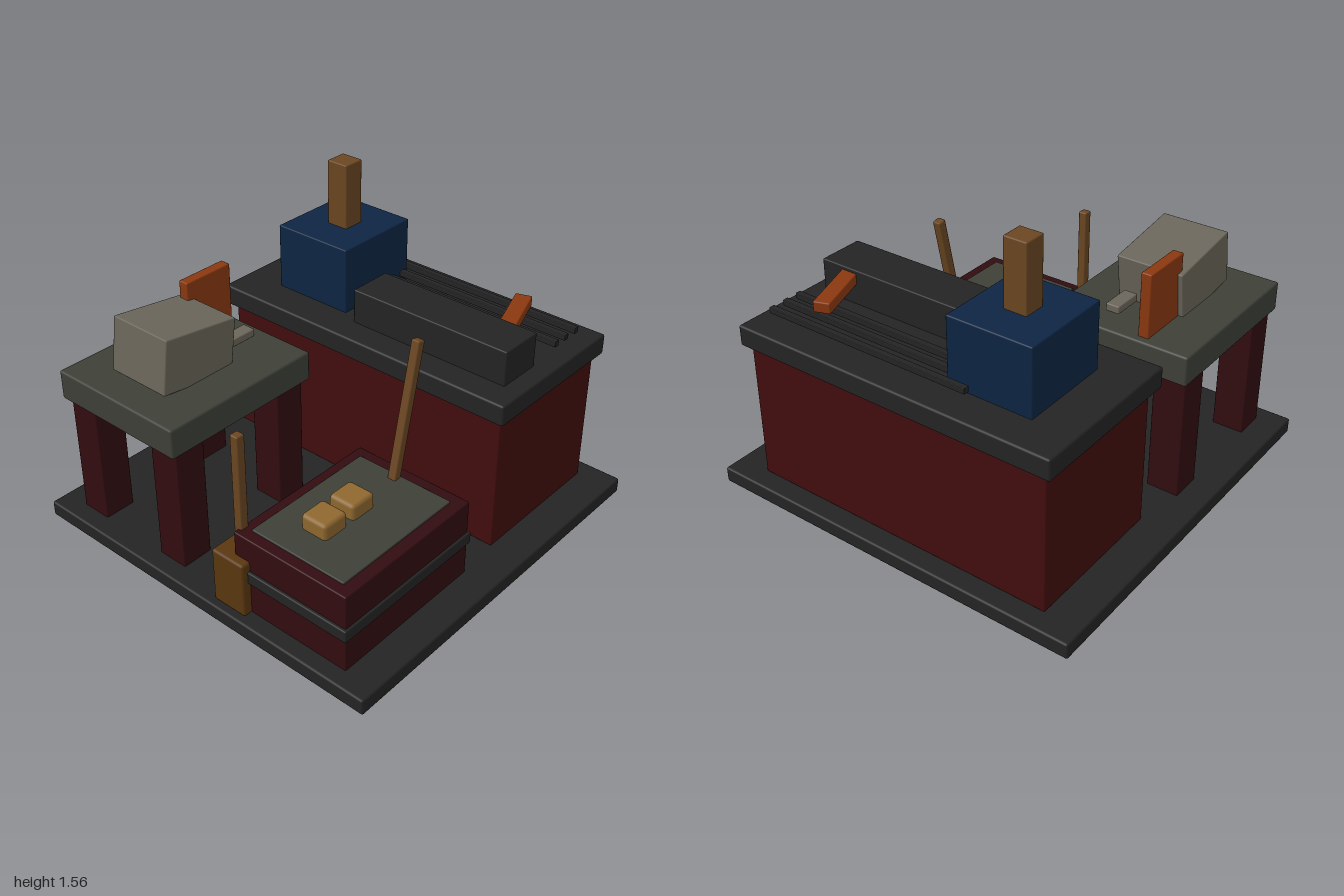
import * as THREE from 'three';
import { RoundedBoxGeometry } from 'three/addons/geometries/RoundedBoxGeometry.js';

const paint = (name, color) => {
  const m = new THREE.MeshStandardMaterial({ color });
  m.name = name;
  return m;
};

export function createModel() {
  const charcoal = paint('charcoal', 0x242424);
  const red = paint('dark red', 0x420d0d);
  const maroon = paint('maroon', 0x320c10);
  const blue = paint('navy', 0x0d2544);
  const wood = paint('wood', 0x6b4722);
  const orange = paint('rust orange', 0x8b3810);
  const stone = paint('pale stone', 0x6b665a);
  const slate = paint('slate', 0x3e4038);
  const gold = paint('gold', 0x8f682f);
  const brown = paint('bucket brown', 0x5a370f);

  const model = new THREE.Group();
  model.name = 'workshop';

  // Softly bevelled box given by its min/max extents on each axis
  const box = (name, mat, [x0, x1], [y0, y1], [z0, z1], bevel = 0.006) => {
    const geo = new RoundedBoxGeometry(x1 - x0, y1 - y0, z1 - z0, 1, bevel);
    const mesh = new THREE.Mesh(geo, mat);
    mesh.name = name;
    mesh.position.set((x0 + x1) / 2, (y0 + y1) / 2, (z0 + z1) / 2);
    model.add(mesh);
    return mesh;
  };
  // Same, by size and centre, for parts that are rotated
  const block = (name, mat, [w, h, d], [x, y, z]) =>
    box(name, mat, [x - w / 2, x + w / 2], [y - h / 2, y + h / 2], [z - d / 2, z + d / 2]);

  box('base', charcoal, [-1, 1], [0, 0.08], [-1, 1], 0.01);

  // Counter with its top
  box('counterBody', red, [0.14, 0.9], [0.08, 0.8], [-0.815, 0.82]);
  box('counterTop', charcoal, [0.1, 0.935], [0.79, 0.895], [-0.855, 0.855], 0.01);
  box('stove', blue, [0.28, 0.755], [0.89, 1.23], [-0.64, -0.205]);
  box('chimney', wood, [0.46, 0.575], [1.22, 1.56], [-0.48, -0.36]);
  box('ledge', charcoal, [0.24, 0.475], [0.89, 1.07], [-0.12, 0.76]);
  for (const x of [0.635, 0.715, 0.8])
    box('rod', charcoal, [x - 0.015, x + 0.015], [0.93, 0.96], [-0.345, 0.775], 0.003);
  block('hotBar', orange, [0.33, 0.055, 0.083], [0.606, 1.025, 0.551]).rotation.y = 0.34;

  // Table on four legs
  box('tableTop', slate, [-0.94, -0.065], [0.71, 0.86], [-0.88, -0.13], 0.01);
  for (const x of [-0.823, -0.185])
    for (const z of [-0.778, -0.232])
      box('tableLeg', maroon, [x - 0.082, x + 0.082], [0.075, 0.72], [z - 0.082, z + 0.082]);
  block('tiltedBlock', stone, [0.42, 0.271, 0.348], [-0.564, 0.981, -0.506]).rotation.z = -0.14;
  box('panel', orange, [-0.38, -0.105], [0.855, 1.18], [-0.655, -0.6]);
  box('smallPlate', stone, [-0.325, -0.165], [0.89, 0.93], [-0.46, -0.388]);

  // Hearth with band, bed, ingots and side nozzle
  box('hearth', maroon, [-0.915, -0.083], [0.075, 0.48], [0.2, 0.835]);
  box('hearthBand', charcoal, [-0.93, -0.073], [0.25, 0.312], [0.188, 0.847]);
  box('hearthBed', slate, [-0.86, -0.145], [0.44, 0.49], [0.255, 0.775], 0.004);
  for (const x of [-0.643, -0.463])
    box('ingot', gold, [x - 0.071, x + 0.071], [0.46, 0.565], [0.404, 0.548], 0.018);
  box('nozzle', charcoal, [-0.12, 0.045], [0.205, 0.242], [0.37, 0.587]);

  // Leaning handle
  block('leaningHandle', wood, [0.043, 0.72, 0.045], [-0.106, 0.797, 0.478]).rotation.z = -0.213;

  // Bucket with upright handle
  box('bucket', brown, [-0.96, -0.768], [0.075, 0.36], [0.1, 0.29], 0.012);
  box('uprightHandle', wood, [-0.887, -0.842], [0.3, 0.96], [0.175, 0.22]);

  return model;
}
